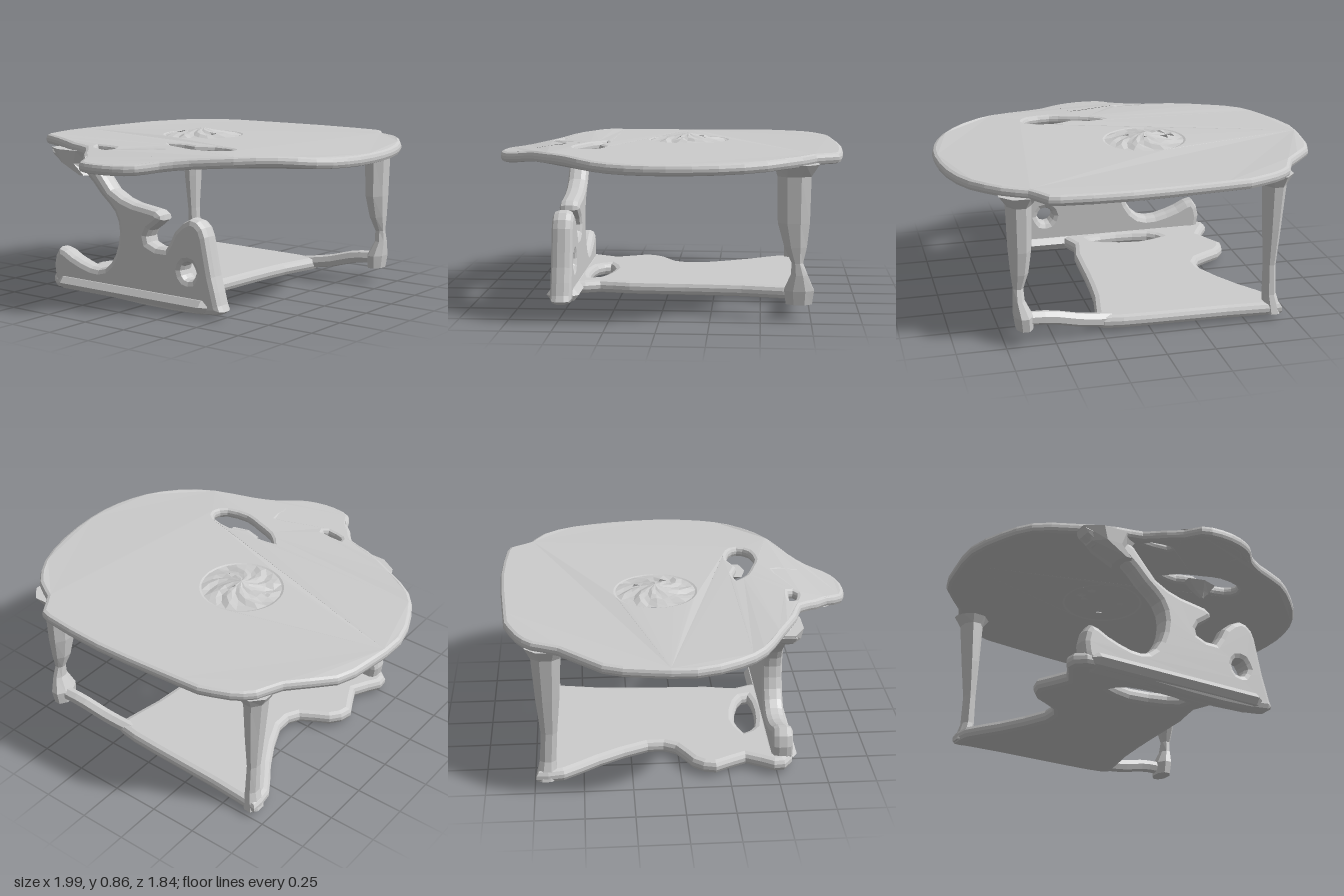
import * as THREE from 'three';

const mat = new THREE.MeshStandardMaterial({ color: 0xcccccc, flatShading: true, side: THREE.DoubleSide });
const V2 = (p) => new THREE.Vector2(p[0], p[1]);

// closed, softly rounded outline through a few points
function loop(pts) {
  return new THREE.SplineCurve([...pts, pts[0]].map(V2)).getPoints(pts.length * 2).slice(0, -1);
}

// plate with rounded rim, lying in the drawing plane, centred on its thickness
function plate(outline, holes, thick, bevel, size) {
  const shape = new THREE.Shape(loop(outline));
  for (const h of holes) shape.holes.push(new THREE.Path(loop(h)));
  const g = new THREE.ExtrudeGeometry(shape, {
    depth: thick - 2 * bevel, bevelEnabled: true, bevelThickness: bevel,
    bevelSize: size, bevelOffset: -size, bevelSegments: 2,
  });
  return g.translate(0, 0, bevel - thick / 2);
}

function circle(cx, cz, r, n) {
  return Array.from({ length: n }, (_, i) => {
    const a = (i / n) * Math.PI * 2;
    return [cx + r * Math.cos(a), cz + r * Math.sin(a)];
  });
}

// surface through elliptical sections [y, x, z, radiusX, radiusZ], top to bottom
function loft(sections, sides = 8) {
  const pos = [], idx = [];
  const last = sections.length - 1;
  sections.forEach(([y, x, z, rx, rz]) => {
    for (let i = 0; i < sides; i++) {
      const a = ((i + 0.5) / sides) * Math.PI * 2;
      pos.push(x + rx * Math.cos(a), y, z + rz * Math.sin(a));
    }
  });
  for (let j = 0; j < last; j++) {
    for (let i = 0; i < sides; i++) {
      const a = j * sides + i, b = j * sides + ((i + 1) % sides);
      idx.push(a, b, a + sides, b, b + sides, a + sides);
    }
  }
  for (let i = 1; i < sides - 1; i++) {
    idx.push(0, i + 1, i);
    idx.push(last * sides, last * sides + i, last * sides + i + 1);
  }
  const g = new THREE.BufferGeometry();
  g.setAttribute('position', new THREE.Float32BufferAttribute(pos, 3));
  g.setIndex(idx);
  g.computeVertexNormals();
  return g;
}

// crumpled round patch, with a few cells left open
function patch(cx, cz, r, y, bump) {
  const n = 24, rings = 5, pos = [], idx = [];
  const open = ['2:1', '3:9', '3:11', '1:18', '2:19', '2:12'];
  for (let j = 0; j <= rings; j++) {
    for (let i = 0; i < n; i++) {
      const a = (i / n) * Math.PI * 2, k = j / rings;
      const rough = j === rings ? 0 : 0.25 * Math.sin(i * 2.3 + j * 1.7) * k;
      pos.push(cx + r * k * Math.cos(a), y + bump * ((1 - k) ** 1.4 + rough), cz + r * k * Math.sin(a));
      if (j < rings && !open.includes(`${j}:${i}`)) {
        const p = j * n + i, q = j * n + ((i + 1) % n);
        idx.push(p, q, p + n, q, q + n, p + n);
      }
    }
  }
  const g = new THREE.BufferGeometry();
  g.setAttribute('position', new THREE.Float32BufferAttribute(pos, 3));
  g.setIndex(idx);
  g.computeVertexNormals();
  return g;
}

export function createModel() {
  const group = new THREE.Group();
  const add = (name, geometry) => {
    const m = new THREE.Mesh(geometry, mat);
    m.name = name;
    group.add(m);
    return m;
  };

  // Table top: irregular disc with a looped lip at the front
  const topOutline = [
    [-0.45, -0.88], [-0.2, -0.9], [0.15, -0.92], [0.5, -0.9], [0.57, -0.86], [0.63, -0.77],
    [0.75, -0.7], [0.88, -0.53], [0.96, -0.3], [0.99, -0.05], [0.97, 0.15], [0.9, 0.32],
    [0.77, 0.46], [0.6, 0.59], [0.4, 0.68], [0.28, 0.76], [0.2, 0.85], [0.1, 0.9],
    [-0.02, 0.915], [-0.13, 0.89], [-0.18, 0.8], [-0.24, 0.74], [-0.32, 0.64], [-0.45, 0.6],
    [-0.65, 0.5], [-0.83, 0.4], [-0.93, 0.26], [-1, 0.05], [-0.98, -0.2], [-0.93, -0.4],
    [-0.76, -0.61], [-0.7, -0.74], [-0.6, -0.82],
  ];
  const frontHole = [[-0.11, 0.66], [0.02, 0.6], [0.13, 0.56], [0.14, 0.66], [0.17, 0.78],
    [0.08, 0.84], [-0.08, 0.84], [-0.16, 0.78], [-0.12, 0.72]];
  const sideHole = [[0.0, 0.34], [0.09, 0.33], [0.18, 0.36], [0.28, 0.32], [0.4, 0.34],
    [0.44, 0.39], [0.4, 0.45], [0.28, 0.47], [0.18, 0.44], [0.07, 0.4]];
  const slit = [[-0.27, 0.59], [-0.15, 0.6], [-0.16, 0.64], [-0.25, 0.62]];
  const bumpAt = [-0.12, -0.1], bumpR = 0.2;
  const top = plate(topOutline, [frontHole, sideHole, slit, circle(...bumpAt, bumpR, 24)], 0.055, 0.02, 0.02);
  top.rotateX(Math.PI / 2).translate(0, 0.807, 0);
  const p = top.attributes.position;
  for (let i = 0; i < p.count; i++) {
    const x = p.getX(i), z = p.getZ(i);
    const sag = 0.05 * THREE.MathUtils.smoothstep(z, 0.5, 0.9) + 0.02 * THREE.MathUtils.smoothstep(Math.abs(x), 0.75, 1);
    p.setY(i, p.getY(i) - sag);
  }
  top.computeVertexNormals();
  add('tableTop', top);
  add('crumpledCentre', patch(...bumpAt, bumpR + 0.01, 0.832, 0.04));
  add('centreUnderside', patch(...bumpAt, bumpR + 0.01, 0.782, 0.004));

  // Small drip under the side hole
  add('drip', loft([[0.79, 0.22, 0.36, 0.1, 0.05], [0.75, 0.24, 0.34, 0.05, 0.03], [0.72, 0.25, 0.335, 0.01, 0.01]], 6));

  // Lower shelf
  const shelf = plate([
    [-0.69, -0.74], [-0.4, -0.72], [0.0, -0.71], [0.24, -0.69], [0.27, -0.62], [0.23, -0.4],
    [0.21, -0.1], [0.2, 0.2], [0.17, 0.36], [0.22, 0.5], [0.1, 0.57], [-0.3, 0.6],
    [-0.6, 0.58], [-0.66, 0.48], [-0.58, 0.34], [-0.66, 0.18], [-0.6, 0.06], [-0.46, -0.02],
    [-0.43, -0.16], [-0.56, -0.42], [-0.68, -0.6],
  ], [[[-0.34, 0.36], [-0.2, 0.32], [0.0, 0.36], [0.06, 0.42], [-0.1, 0.44], [-0.28, 0.42]]], 0.07, 0.025, 0.03);
  add('lowerShelf', shelf.rotateX(Math.PI / 2).translate(0, 0.062, 0));

  // Upright front panel with a horn, a slanting strut and a pierced lobe
  const panel = plate([
    [-0.6, 0.05], [-0.62, 0.15], [-0.58, 0.25], [-0.48, 0.21], [-0.35, 0.17], [-0.25, 0.18],
    [-0.18, 0.26], [-0.15, 0.38], [-0.18, 0.48], [-0.27, 0.56], [-0.4, 0.68], [-0.55, 0.71],
    [-0.63, 0.78], [-0.45, 0.79], [-0.33, 0.75], [-0.2, 0.6], [-0.05, 0.54], [0.1, 0.52],
    [0.14, 0.47], [0.06, 0.41], [0.05, 0.35], [0.16, 0.33], [0.22, 0.43], [0.32, 0.5],
    [0.4, 0.46], [0.43, 0.36], [0.46, 0.22], [0.5, 0.08], [0.49, 0.03], [0.2, 0.01], [-0.2, 0.02],
  ], [circle(0.31, 0.23, 0.045, 6)], 0.11, 0.035, 0.03);
  add('frontPanel', panel.translate(0, 0, 0.53));
  add('panelFoot', new THREE.CapsuleGeometry(0.05, 0.94, 2, 8).rotateZ(Math.PI / 2).scale(1, 0.9, 1.7).translate(-0.07, 0.065, 0.53));
  add('strutHead', loft([[0.79, -0.47, 0.53, 0.17, 0.1], [0.72, -0.47, 0.53, 0.11, 0.09], [0.66, -0.38, 0.53, 0.04, 0.08]]));

  // Back legs
  add('backLegLeft', loft([
    [0.79, 0.66, -0.67, 0.11, 0.12], [0.73, 0.66, -0.66, 0.065, 0.09], [0.5, 0.66, -0.66, 0.058, 0.085],
    [0.38, 0.665, -0.67, 0.045, 0.06], [0.3, 0.675, -0.68, 0.027, 0.03], [0.24, 0.675, -0.69, 0.03, 0.045],
    [0.16, 0.655, -0.69, 0.05, 0.08], [0.09, 0.65, -0.69, 0.045, 0.07],
  ]));
  add('backLegRight', loft([
    [0.79, -0.64, -0.67, 0.1, 0.11], [0.73, -0.645, -0.67, 0.06, 0.08], [0.5, -0.64, -0.67, 0.045, 0.065],
    [0.3, -0.635, -0.67, 0.032, 0.045], [0.14, -0.635, -0.68, 0.035, 0.045], [0.04, -0.65, -0.69, 0.05, 0.06],
  ]));

  // Arm joining the shelf to the left back leg
  const arm = new THREE.CatmullRomCurve3([
    new THREE.Vector3(0.2, 0.065, -0.65), new THREE.Vector3(0.36, 0.09, -0.67),
    new THREE.Vector3(0.52, 0.13, -0.69), new THREE.Vector3(0.67, 0.14, -0.7),
  ]);
  add('shelfArm', new THREE.TubeGeometry(arm, 8, 0.036, 7));

  return group;
}
